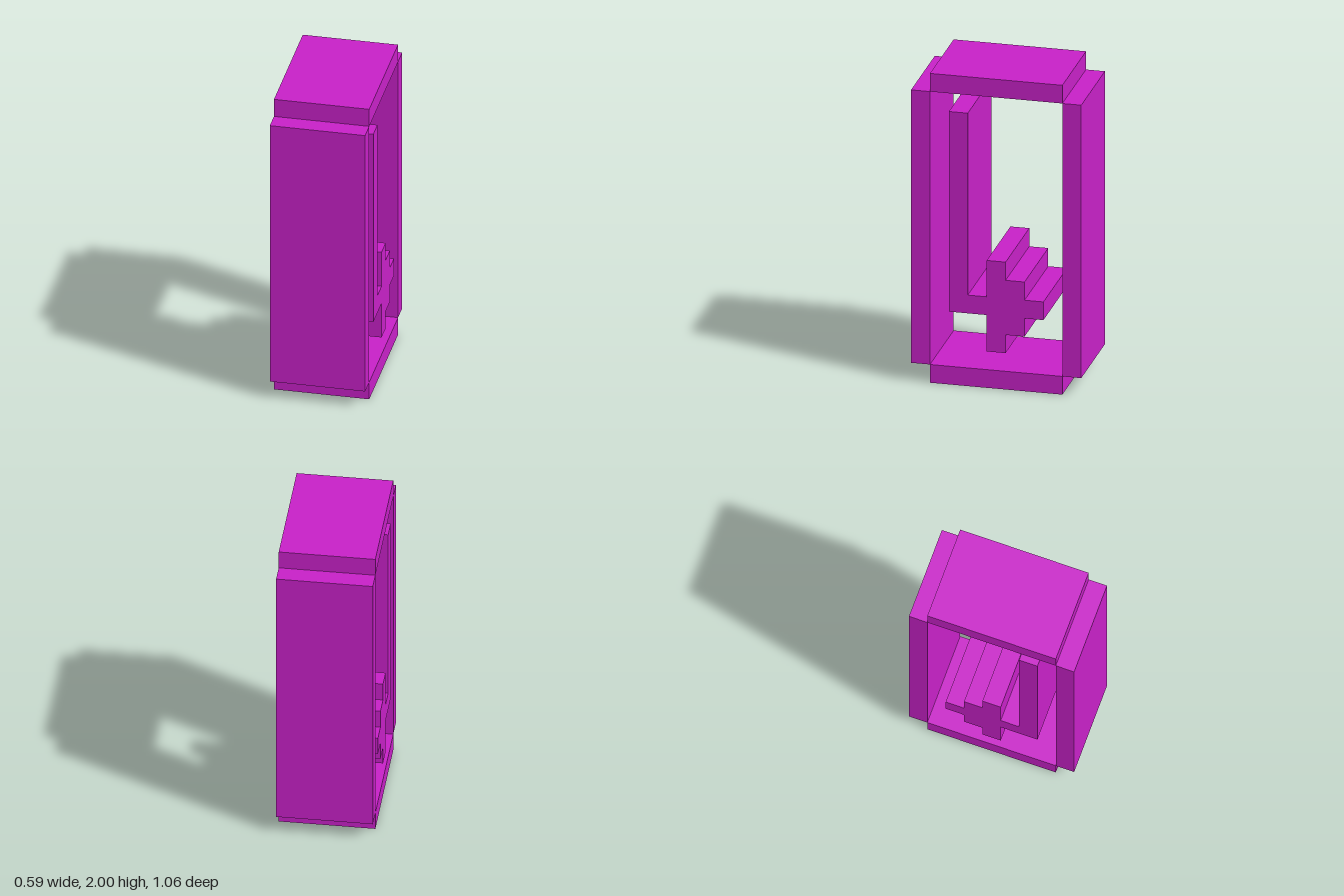
import * as THREE from 'three';

const U = 2 / 17;      // one grid cell
const WIDTH = 5 * U;   // extent along x

export function createModel() {
  const model = new THREE.Group();
  const magenta = new THREE.MeshStandardMaterial({ color: 0xc821c8 });

  // Bar running through the full width; height and depth in cells
  const addBar = (name, height, depth, y, z) => {
    const bar = new THREE.Mesh(new THREE.BoxGeometry(WIDTH, height * U, depth * U), magenta);
    bar.name = name;
    bar.position.set(0, y * U, z * U);
    model.add(bar);
  };

  // Frame: four slabs that meet only along their edges
  addBar('frameBottom', 1, 7, 0.5, 0);
  addBar('frameTop', 1, 7, 16.5, 0);
  addBar('frameFront', 15, 1, 8.5, 4);
  addBar('frameBack', 15, 1, 8.5, -4);

  // Stepped bent arrow, outlined as (z, y) in cells
  const outline = [
    [2.5, 4], [2.5, 15], [1.5, 15], [1.5, 5], [0.5, 5], [0.5, 7],
    [-0.5, 7], [-0.5, 6], [-1.5, 6], [-1.5, 5], [-2.5, 5], [-2.5, 4],
    [-1.5, 4], [-1.5, 3], [-0.5, 3], [-0.5, 2], [0.5, 2], [0.5, 4],
  ].map(([z, y]) => new THREE.Vector2(z * U, y * U));
  const geometry = new THREE.ExtrudeGeometry(new THREE.Shape(outline), {
    depth: WIDTH, bevelEnabled: false,
  });
  geometry.translate(0, 0, -WIDTH / 2).rotateY(-Math.PI / 2);
  const arrow = new THREE.Mesh(geometry, magenta);
  arrow.name = 'bentArrow';
  model.add(arrow);

  return model;
}
